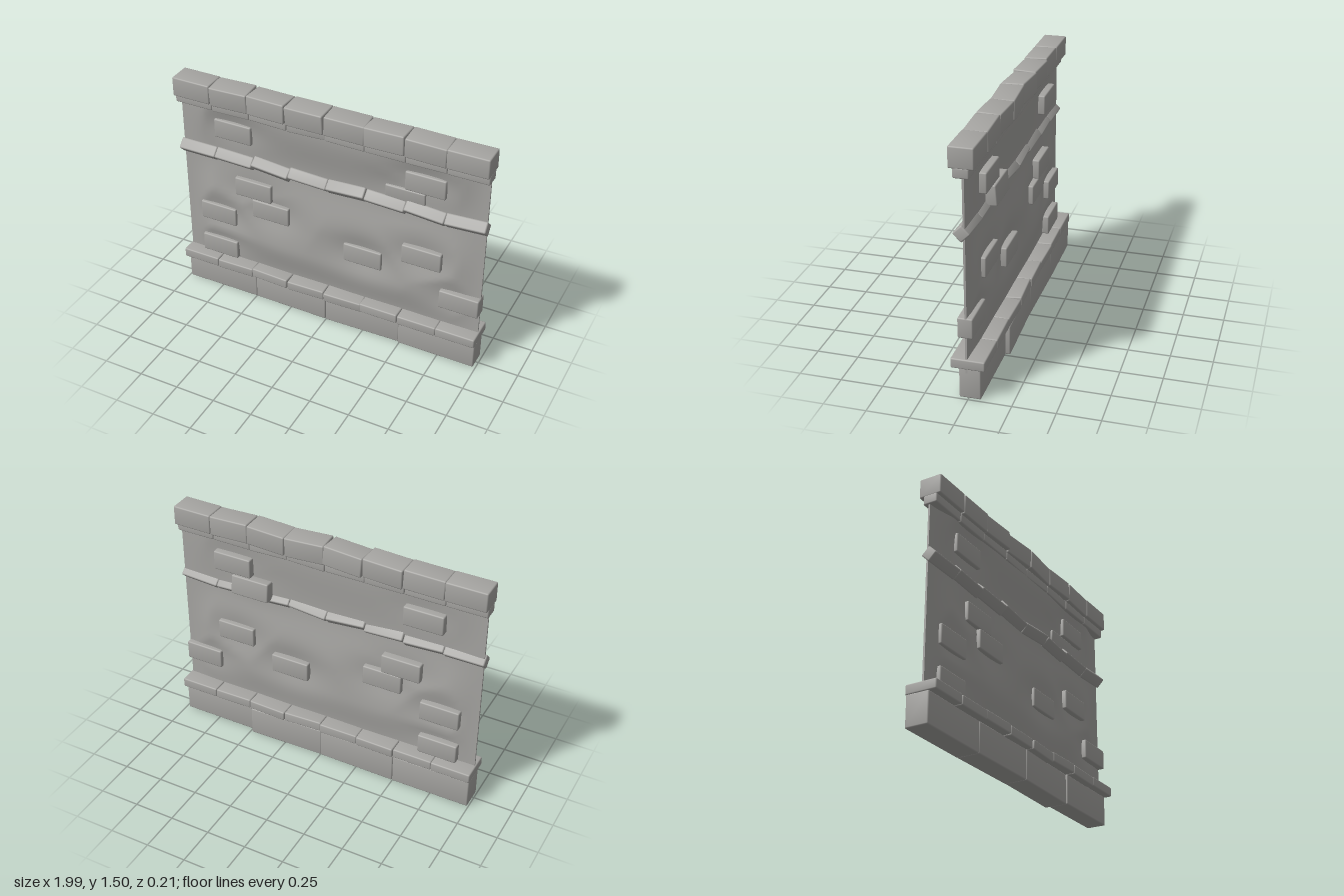
import * as THREE from 'three';
import { RoundedBoxGeometry } from 'three/addons/geometries/RoundedBoxGeometry.js';

const stone = new THREE.MeshStandardMaterial({ color: 0xa6a5a2 });

// one bevelled stone; its normals lean outwards a little so the faces shade softly
function block(name, size, pos, rot = [0, 0, 0]) {
  const geo = new RoundedBoxGeometry(...size, 2, 0.008);
  const p = geo.attributes.position, n = geo.attributes.normal;
  const v = new THREE.Vector3(), lean = new THREE.Vector3();
  const spread = new THREE.Vector3(0.3, 0.3, 0.3).divide(new THREE.Vector3(...size));
  for (let i = 0; i < p.count; i++) {
    lean.fromBufferAttribute(p, i).multiply(spread);
    v.fromBufferAttribute(n, i).add(lean).normalize();
    n.setXYZ(i, v.x, v.y, v.z);
  }
  const mesh = new THREE.Mesh(geo, stone);
  mesh.name = name;
  mesh.position.set(...pos);
  mesh.rotation.set(...rot);
  return mesh;
}

// a row of eight stones; roll, yaw and tilt lists make the row uneven
function course(name, height, depth, y, z, roll, yaw, tilt, pitch = 0) {
  const row = new THREE.Group();
  row.name = name;
  for (let i = 0; i < 8; i++) {
    const holder = new THREE.Group();
    holder.position.set(-0.87 + i * 0.2486, y, z);
    holder.rotation.set(0, yaw[i], roll[i]);
    holder.add(block(name + 'Stone', [0.248, height, depth], [0, 0, 0], [pitch + tilt[i], 0, 0]));
    row.add(holder);
  }
  return row;
}

// profile lookup, eased between points
function profile(points, y) {
  for (let i = 1; i < points.length; i++) {
    const [y0, a] = points[i - 1], [y1, b] = points[i];
    if (y <= y1) return THREE.MathUtils.lerp(a, b, THREE.MathUtils.smoothstep(y, y0, y1));
  }
  return points[points.length - 1][1];
}

// exposed bricks: x, y, z, pitch
const BRICKS = [
  [-0.625, 1.19, 0.002, 0], [0.615, 1.19, 0.002, 0], [0.49, 1.063, -0.014, 0.09],
  [-0.5, 0.812, 0.002, 0], [-0.38, 0.688, 0.008, 0], [0.615, 0.688, 0.012, 0],
  [-0.755, 0.563, 0.002, 0], [0.235, 0.563, 0.002, 0], [0.863, 0.44, 0.014, 0],
  [-0.755, 0.313, 0.002, 0],
];

// plaster wall: straight at both ends, swelling between courses, sunk around the bricks
function plasterWall() {
  const geo = new THREE.BoxGeometry(1.97, 1.2, 0.1, 64, 40, 1);
  geo.translate(0, 0.76, 0);
  const p = geo.attributes.position;
  const front = [[0.2, 0.015], [0.45, 0.052], [0.65, 0.052], [1.0, 0.018], [1.34, 0.06]];
  const back = [[0.2, 0.0], [0.45, -0.025], [0.65, -0.025], [1.0, 0.008], [1.34, -0.012]];
  for (let i = 0; i < p.count; i++) {
    const x = p.getX(i), y = p.getY(i), isFront = p.getZ(i) > 0;
    let sink = THREE.MathUtils.smoothstep(Math.abs(x), 0.72, 0.98);
    for (const [bx, by] of BRICKS) {
      const dx = (x - bx) / 0.21, dy = (y - by) / 0.14;
      sink = Math.max(sink, Math.exp(-dx * dx - dy * dy));
    }
    const z = profile(isFront ? front : back, y);
    p.setZ(i, THREE.MathUtils.lerp(z, isFront ? 0.016 : 0.004, sink));
  }
  geo.computeVertexNormals();
  const mesh = new THREE.Mesh(geo, stone);
  mesh.name = 'plasterWall';
  return mesh;
}

export function createModel() {
  const model = new THREE.Group();
  model.name = 'stoneWall';
  model.add(plasterWall());

  // foundation: four long blocks
  const base = new THREE.Group();
  base.name = 'foundation';
  const baseZ = [-0.02, -0.018, -0.02, -0.008], baseYaw = [0.005, -0.01, 0.025, 0];
  for (let i = 0; i < 4; i++) {
    base.add(block('foundationBlock', [0.494, 0.19, i === 3 ? 0.125 : 0.144],
      [-0.745 + i * 0.494, 0.096, baseZ[i]], [0, baseYaw[i], 0]));
  }
  model.add(base);

  // ledge over the foundation
  model.add(course('ledge', 0.06, 0.197, 0.217, 0.002,
    [0, 0.01, -0.015, 0.01, -0.01, 0.015, -0.008, 0],
    [0, 0.01, -0.03, 0.02, 0.04, -0.015, 0.01, 0],
    [0, 0.02, -0.03, 0.03, 0.06, -0.02, 0.02, 0]));

  // diamond-section string course
  model.add(course('stringCourse', 0.07, 0.07, 0.998, 0.024,
    [0, -0.04, -0.07, -0.06, 0.07, -0.05, -0.06, 0.06],
    [0, 0.02, -0.03, 0.03, -0.03, 0.02, -0.02, 0],
    [0, 0.05, -0.05, 0.08, -0.04, 0.05, 0, 0], Math.PI / 4));

  // narrow band under the coping
  model.add(course('copingBand', 0.06, 0.09, 1.347, 0.02,
    [0, 0.015, -0.015, 0.02, 0.01, -0.015, 0.01, 0],
    [0, 0.01, -0.02, 0.03, -0.03, 0.02, 0, 0],
    [0, 0.03, -0.02, 0.04, 0, 0.03, 0, 0]));

  // coping stones
  model.add(course('coping', 0.122, 0.142, 1.43, 0.018,
    [0, 0.025, 0.015, 0.04, -0.03, 0.035, -0.025, 0.008],
    [0, 0.015, -0.04, -0.045, 0.05, -0.02, 0.02, 0],
    [0, 0.04, -0.03, 0.05, 0, -0.03, 0.03, 0]));

  // exposed bricks going through the wall
  const bricks = new THREE.Group();
  bricks.name = 'exposedBricks';
  for (const [x, y, z, pitch] of BRICKS) {
    bricks.add(block('brick', [0.248, 0.123, 0.088], [x, y, z], [pitch, 0, 0]));
  }
  model.add(bricks);
  return model;
}
